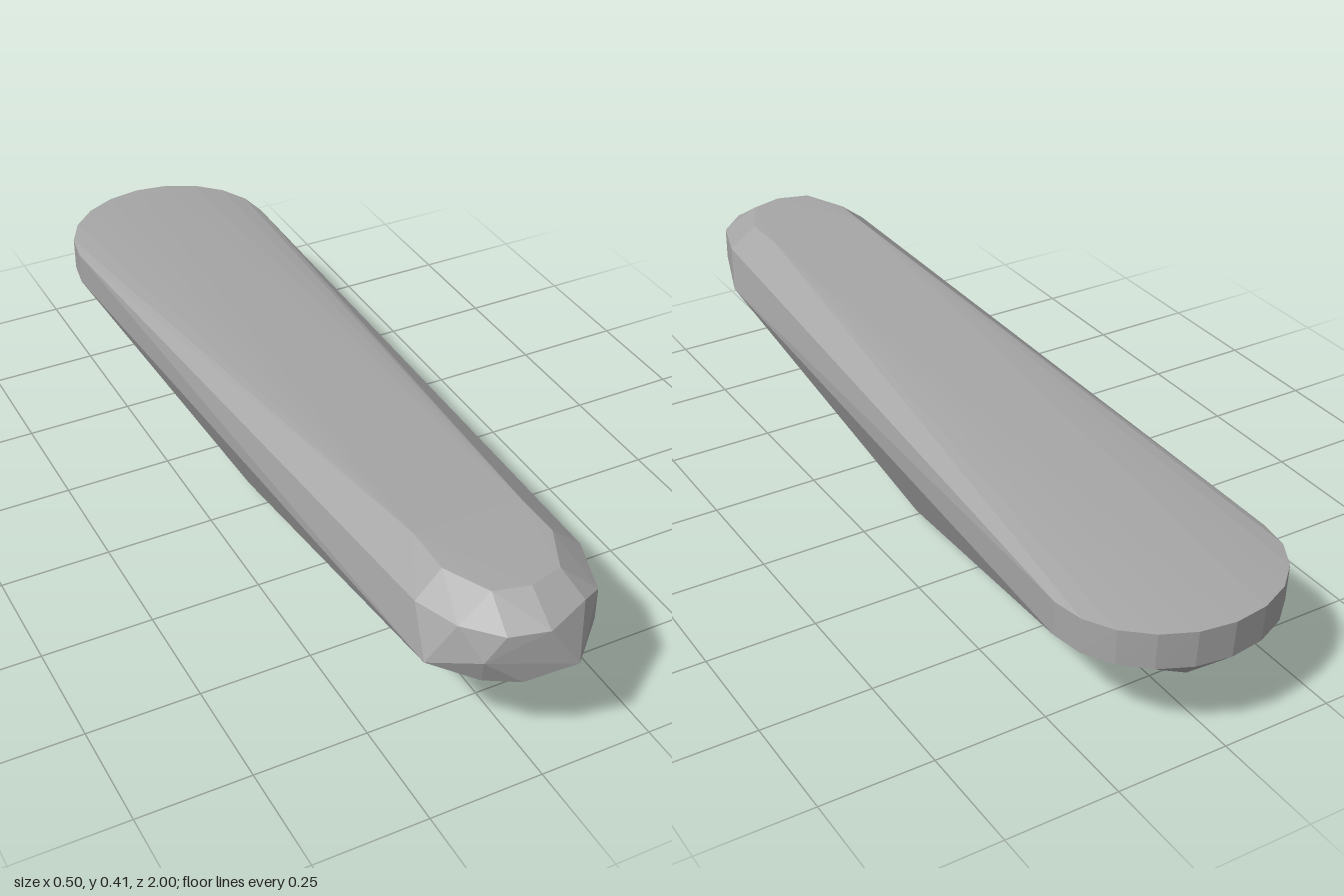
import * as THREE from 'three';
import { ConvexGeometry } from 'three/addons/geometries/ConvexGeometry.js';

export function createModel() {
  const group = new THREE.Group();
  group.name = 'stone';
  const stoneGrey = new THREE.MeshStandardMaterial({ color: 0xa6a6a6 });
  stoneGrey.name = 'stone grey';

  const points = [];
  const add = (x, y, z) => points.push(new THREE.Vector3(x, y, z));
  const pair = (x, y, z) => { add(x, y, z); add(-x, y, z); };

  // Broad rounded back end: upper and lower rim of a half ellipse
  for (let i = 0; i <= 10; i++) {
    const a = (i / 10) * Math.PI;
    const x = 0.25 * Math.cos(a), s = Math.sin(a);
    add(x, 0.29 + 0.007 * s, -0.77 - 0.23 * s);
    add(x, 0.213, -0.77 - 0.225 * s);
  }
  pair(0.17, 0.187, -0.86);
  pair(0.07, 0.173, -0.95);

  // Flat top at the raised front end
  pair(0.12, 0.411, 0.68);
  pair(0.122, 0.41, 0.79);
  pair(0.075, 0.412, 0.89);
  add(0, 0.413, 0.91);

  // Upper crease round the front
  pair(0.184, 0.361, 0.8);
  add(-0.15, 0.365, 0.9);
  add(-0.08, 0.356, 0.96);
  add(0, 0.36, 0.985);
  add(0.095, 0.371, 0.95);
  add(0.145, 0.355, 0.92);

  // Widest line and blunt nose
  pair(0.2, 0.27, 0.76);
  add(-0.2, 0.27, 0.87);
  add(-0.12, 0.3, 0.95);
  add(0.06, 0.267, 1);
  add(0.145, 0.28, 0.92);

  // Lower edge of the front
  add(-0.11, 0.237, 0.93);
  add(-0.04, 0.232, 0.965);
  add(0.04, 0.23, 0.965);
  add(0.14, 0.236, 0.88);

  // Small keel on which the stone rests
  pair(0.055, 0, 0.07);
  pair(0.06, 0, -0.14);
  pair(0.095, 0.012, 0.03);
  pair(0.1, 0.014, -0.12);
  pair(0.135, 0.04, -0.04);

  const body = new THREE.Mesh(new ConvexGeometry(points), stoneGrey);
  body.name = 'stoneBody';
  group.add(body);
  return group;
}
